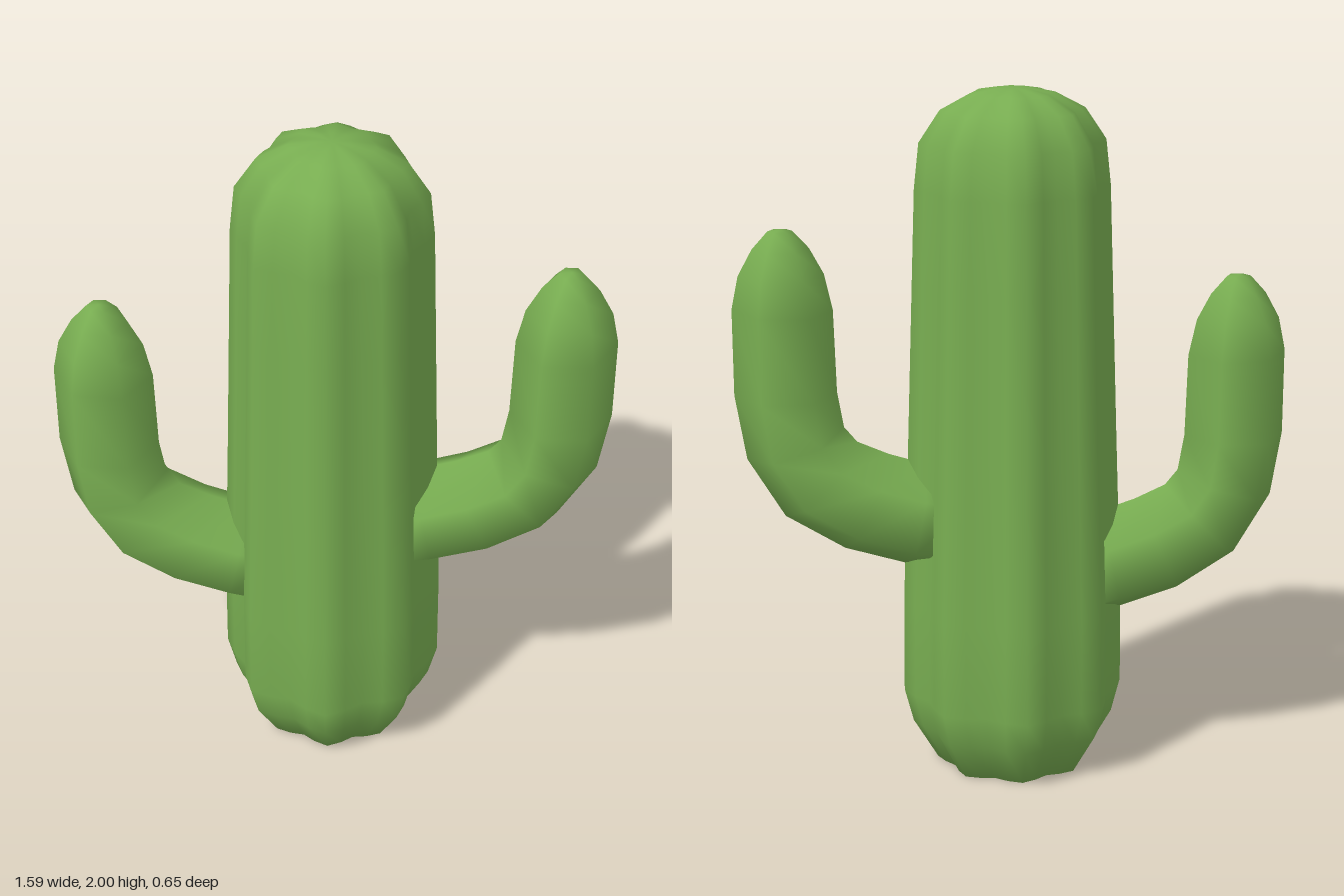
import * as THREE from 'three';

// Closed smooth skin over rings of points, with a centre point at each end.
function loft(rings, start, end) {
  const n = rings[0].length, last = (rings.length - 1) * n;
  const points = [...rings.flat(), start, end];
  const s = points.length - 2, e = s + 1, index = [];
  for (let j = 0; j < n; j++) {
    const k = (j + 1) % n;
    for (let i = 0; i < last; i += n) {
      index.push(i + j, i + k, i + n + j, i + k, i + n + k, i + n + j);
    }
    index.push(s, k, j, e, last + j, last + k);
  }
  const geometry = new THREE.BufferGeometry().setFromPoints(points);
  geometry.setIndex(index);
  geometry.computeVertexNormals();
  return geometry;
}

// Eight-ribbed trunk: [radius, height]
function trunkGeometry() {
  const profile = [[0.225, 0], [0.297, 0.12], [0.323, 0.22], [0.321, 0.5], [0.303, 1.0],
    [0.288, 1.45], [0.279, 1.72], [0.265, 1.85], [0.205, 1.94], [0.12, 1.985], [0.05, 1.998]];
  const rings = profile.map(([radius, y]) => Array.from({ length: 32 }, (_, j) => {
    const a = j / 32 * Math.PI * 2;
    const r = radius * (1 - 0.065 * (1 - Math.cos(8 * a)));
    return new THREE.Vector3(r * Math.sin(a), y, r * Math.cos(a));
  }));
  return loft(rings, new THREE.Vector3(0, 0, 0), new THREE.Vector3(0, 2, 0));
}

// Bent six-sided arm: [outer x, outer y, inner x, inner y, half depth]
function armGeometry() {
  const sections = [
    [0.18, 0.59, 0.14, 0.89, 0.135],
    [0.31, 0.615, 0.25, 0.915, 0.137],
    [0.49, 0.67, 0.36, 0.95, 0.138],
    [0.66, 0.775, 0.45, 0.99, 0.138],
    [0.765, 0.95, 0.487, 1.035, 0.136],
    [0.796, 1.14, 0.505, 1.14, 0.132],
    [0.796, 1.39, 0.512, 1.38, 0.126],
    [0.776, 1.485, 0.535, 1.485, 0.106],
    [0.735, 1.56, 0.575, 1.56, 0.072],
    [0.69, 1.61, 0.62, 1.61, 0.03]];
  const rings = sections.map(([ox, oy, ix, iy, depth]) => Array.from({ length: 6 }, (_, j) => {
    const a = j / 6 * Math.PI * 2, t = (1 + Math.cos(a)) / 2;
    return new THREE.Vector3(ix + (ox - ix) * t, iy + (oy - iy) * t,
      -Math.sin(a) * depth / Math.sin(Math.PI / 3));
  }));
  return loft(rings, new THREE.Vector3(0.16, 0.74, 0), new THREE.Vector3(0.655, 1.615, 0));
}

export function createModel() {
  const group = new THREE.Group();
  group.name = 'cactus';
  const green = new THREE.MeshStandardMaterial({ color: 0x78ad51 });
  green.name = 'cactus green';

  const trunk = new THREE.Mesh(trunkGeometry(), green);
  trunk.name = 'trunk';

  // The right arm is the left one turned around and set lower.
  const arm = armGeometry();
  const leftArm = new THREE.Mesh(arm, green);
  leftArm.name = 'leftArm';
  const rightArm = new THREE.Mesh(arm, green);
  rightArm.name = 'rightArm';
  rightArm.rotation.y = Math.PI;
  rightArm.position.y = -0.165;

  group.add(trunk, leftArm, rightArm);
  return group;
}
